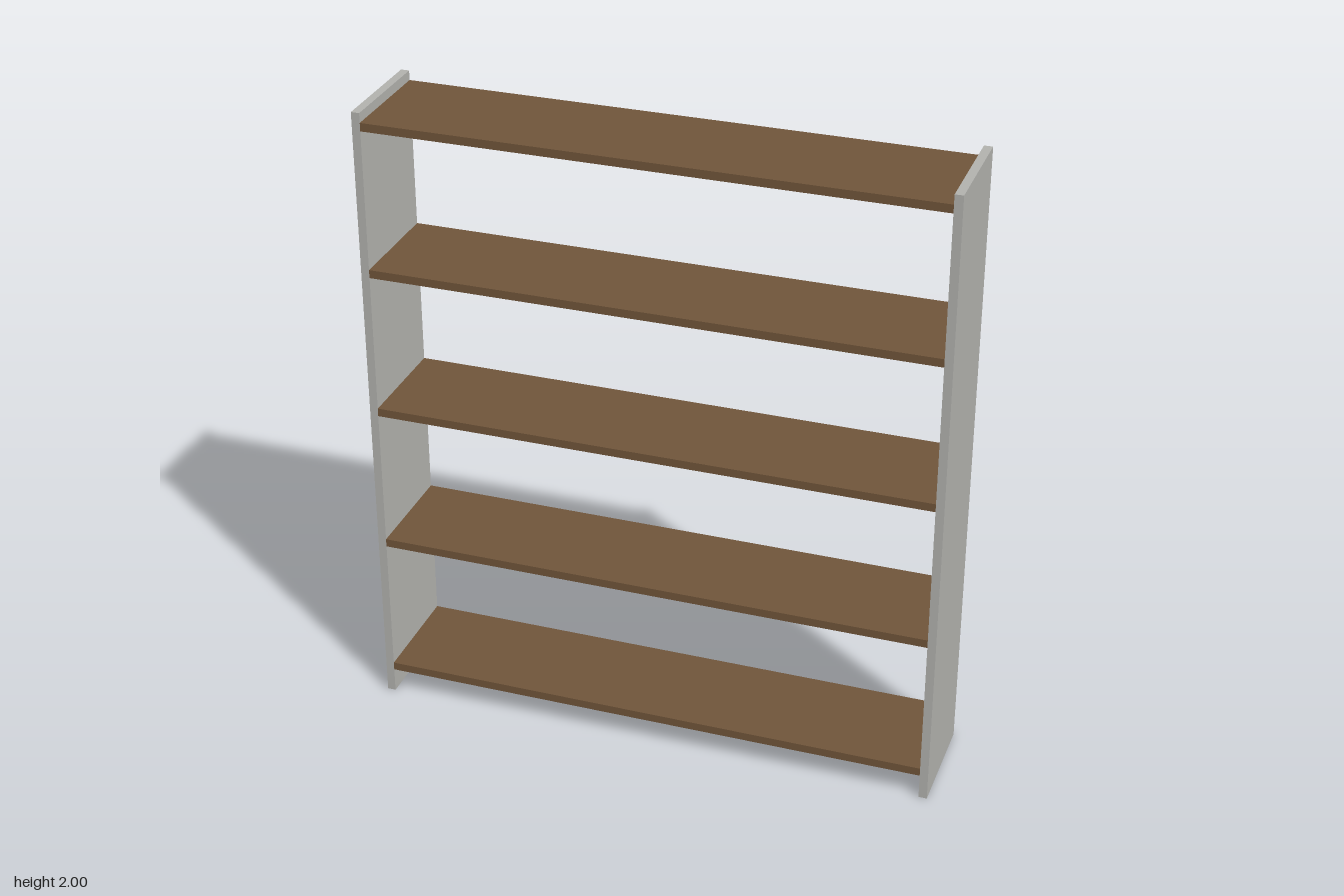
import * as THREE from 'three';

const WIDTH = 1.79, HEIGHT = 2, DEPTH = 0.35, BOARD = 0.026;
const SHELVES = 5, LOWEST = 0.093, SPACING = 0.466;

export function createModel() {
  const group = new THREE.Group();
  group.name = 'bookshelf';

  const wood = new THREE.MeshStandardMaterial({ name: 'brown wood', color: 0x70553a });
  const panel = new THREE.MeshStandardMaterial({ name: 'light grey panel', color: 0xb2b2ae });

  const addBoard = (name, material, w, h, x, y) => {
    const mesh = new THREE.Mesh(new THREE.BoxGeometry(w, h, DEPTH), material);
    mesh.name = name;
    mesh.position.set(x, y, 0);
    group.add(mesh);
  };

  // Upright side panels
  for (const [name, side] of [['leftPanel', 1], ['rightPanel', -1]]) {
    addBoard(name, panel, BOARD, HEIGHT, side * (WIDTH - BOARD) / 2, HEIGHT / 2);
  }

  // Evenly spaced shelves between the panels
  for (let i = 0; i < SHELVES; i++) {
    addBoard(`shelf${i + 1}`, wood, WIDTH - 2 * BOARD, BOARD, 0, LOWEST + i * SPACING);
  }

  return group;
}
